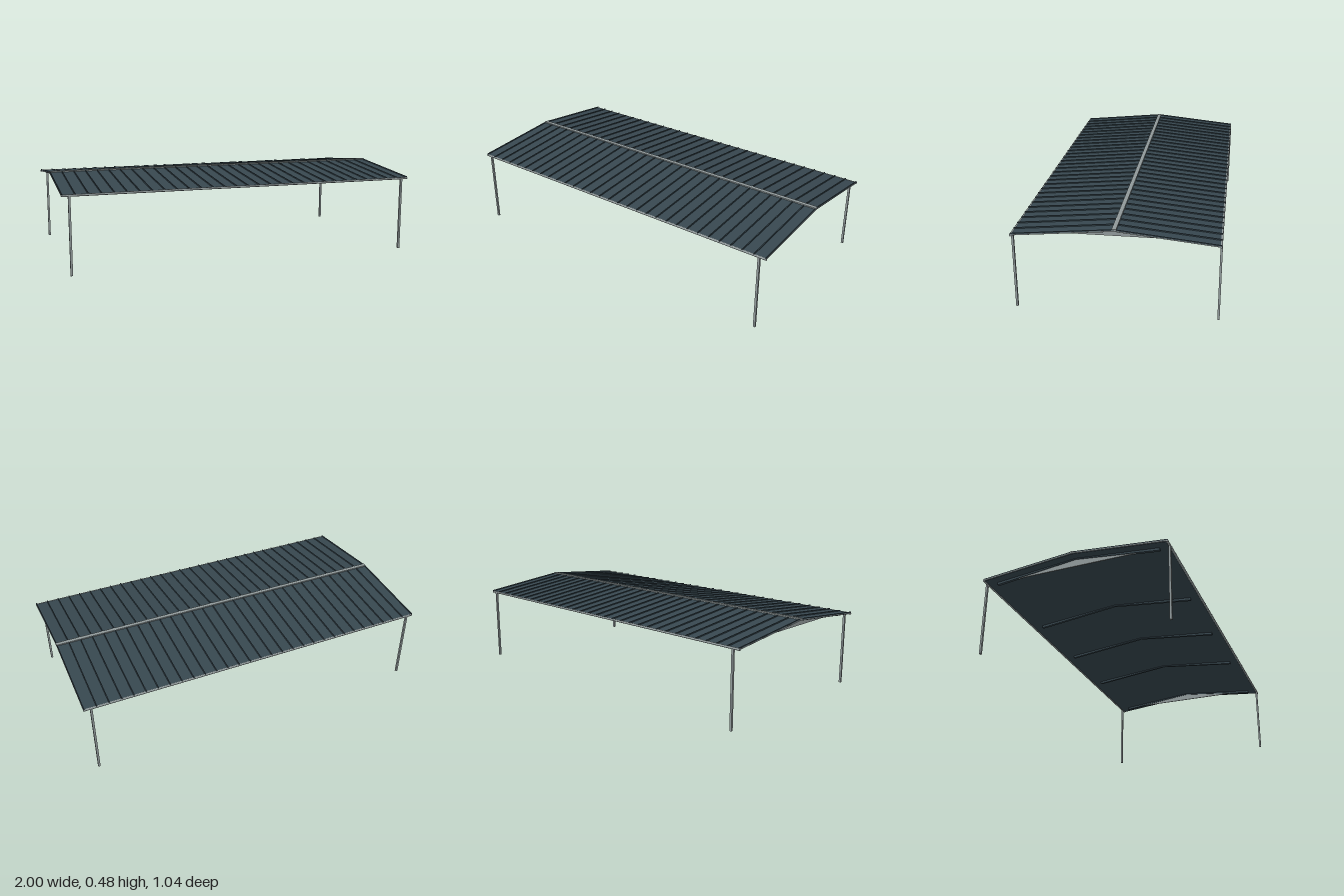
import * as THREE from 'three';

export function createModel() {
  const group = new THREE.Group();
  const roofMat = new THREE.MeshStandardMaterial({ name: 'dark slate metal', color: 0x37474f });
  const trimMat = new THREE.MeshStandardMaterial({ name: 'pale grey trim', color: 0x90999a });

  function add(name, geometry, material, x = 0, y = 0, z = 0) {
    const mesh = new THREE.Mesh(geometry, material);
    mesh.name = name;
    mesh.position.set(x, y, z);
    group.add(mesh);
    return mesh;
  }

  // Cross-section mirrored about the ridge, [z, y] points, extruded along x
  function section(points, width) {
    const mirrored = points.filter(p => p[0] > 0).reverse().map(([z, y]) => [-z, y]);
    const lower = points.filter(p => p[0] === 0);
    const shape = new THREE.Shape();
    const outer = points.filter(p => p[0] > 0);
    // ridge top, right side, ridge bottom, left side
    const loop = [lower[0], ...outer, lower[1], ...mirrored];
    loop.forEach(([z, y], i) => (i ? shape.lineTo(z, y) : shape.moveTo(z, y)));
    shape.closePath();
    return new THREE.ExtrudeGeometry(shape, { depth: width, bevelEnabled: false })
      .translate(0, 0, -width / 2).rotateY(Math.PI / 2);
  }

  // Pitched roof sheet
  const sheet = [[0, 0.471], [0.515, 0.42], [0.515, 0.413], [0, 0.464]];
  add('roofSheet', section(sheet, 1.992), roofMat);

  // Standing seams over both slopes
  const seam = section([[0, 0.477], [0.515, 0.426], [0.515, 0.419], [0, 0.470]], 0.005);
  for (let i = 0; i <= 30; i++) add('roofSeam', seam, roofMat, -0.9965 + i * (1.993 / 30));

  // Barge trim on both gable ends
  const barge = section([[0, 0.471], [0.515, 0.42], [0.515, 0.415], [0, 0.466]], 0.004);
  for (const s of [-1, 1]) add('bargeTrim', barge, trimMat, s * 0.998);

  // Tapered rafters
  const rafter = section([[0, 0.466], [0.457, 0.42], [0.457, 0.405], [0, 0.459]], 0.014);
  for (const x of [-0.945, -0.433, 0, 0.433, 0.945]) add('rafter', rafter, roofMat, x);

  // Gable infill panels
  const gable = section([[0, 0.464], [0.44, 0.42], [0, 0.42]], 0.006);
  for (const s of [-1, 1]) add('gablePanel', gable, trimMat, s * 0.945);

  // Ridge cap
  add('ridgeCap', section([[0, 0.479], [0.011, 0.4775], [0.011, 0.471], [0, 0.472]], 2), trimMat);

  // Eave gutters
  const gutter = new THREE.CylinderGeometry(0.006, 0.006, 2, 12).rotateZ(Math.PI / 2);
  for (const s of [-1, 1]) add('eaveGutter', gutter, trimMat, 0, 0.416, s * 0.512);

  // Corner posts
  const post = new THREE.BoxGeometry(0.012, 0.414, 0.011);
  for (const sx of [-1, 1]) {
    for (const sz of [-1, 1]) add('cornerPost', post, trimMat, sx * 0.96, 0.207, sz * 0.513);
  }

  return group;
}
